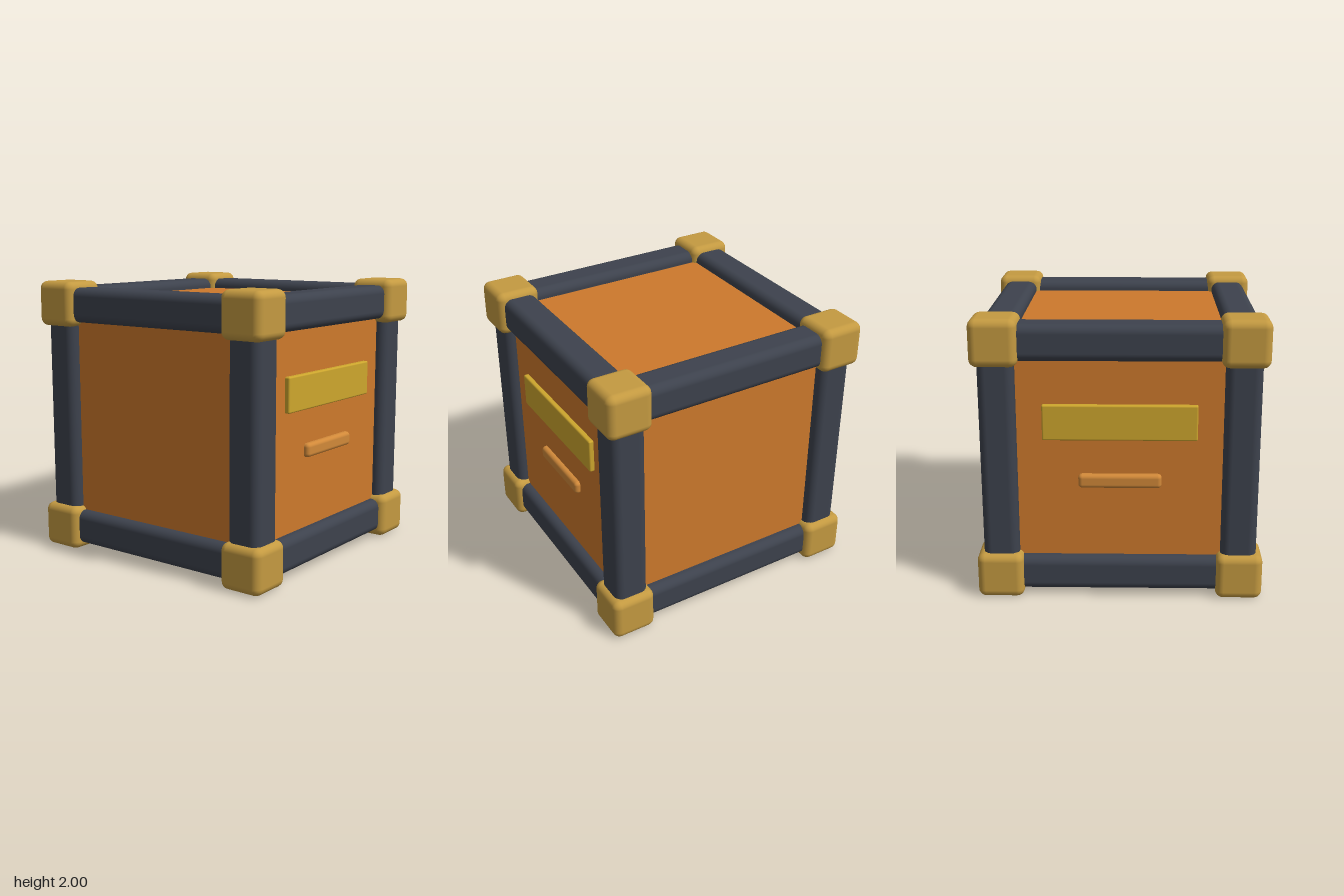
import * as THREE from 'three';
import { RoundedBoxGeometry } from 'three/addons/geometries/RoundedBoxGeometry.js';

const material = (name, color) => {
  const m = new THREE.MeshStandardMaterial({ color });
  m.name = name;
  return m;
};

export function createModel() {
  const crate = new THREE.Group();
  crate.name = 'crate';

  const orange = material('orange panel', 0xcd792c);
  const slate = material('dark slate frame', 0x3d424d);
  const brass = material('brass corner', 0xc49a41);
  const yellow = material('yellow plate', 0xcda62d);
  const copper = material('light copper bar', 0xd18939);

  const add = (parent, name, geometry, mat, x, y, z) => {
    const mesh = new THREE.Mesh(geometry, mat);
    mesh.name = name;
    mesh.position.set(x, y, z);
    parent.add(mesh);
    return mesh;
  };

  // Inset body, flush panels on all six sides
  const panel = 0.88;
  add(crate, 'body', new THREE.BoxGeometry(panel * 2, panel * 2, panel * 2), orange, 0, 1, 0);

  // Twelve rounded frame beams, four along each axis
  const beamAt = 0.831;
  const beamWidth = 0.25;
  const beamLength = 1.64;
  ['x', 'y', 'z'].forEach((axis, i) => {
    const size = [beamWidth, beamWidth, beamWidth];
    size[i] = beamLength;
    const geometry = new RoundedBoxGeometry(...size, 4, 0.06);
    for (const a of [-beamAt, beamAt]) {
      for (const b of [-beamAt, beamAt]) {
        const p = [a, b];
        p.splice(i, 0, 0);
        add(crate, `${axis}Beam`, geometry, slate, p[0], p[1] + 1, p[2]);
      }
    }
  });

  // Eight corner caps
  const capSize = 0.326;
  const capAt = 1 - capSize / 2;
  const capGeometry = new RoundedBoxGeometry(capSize, capSize, capSize, 3, 0.055);
  for (const x of [-capAt, capAt]) {
    for (const y of [-capAt, capAt]) {
      for (const z of [-capAt, capAt]) add(crate, 'cornerCap', capGeometry, brass, x, y + 1, z);
    }
  }

  // Label plate and handle bar on the front and back
  const plateGeometry = new RoundedBoxGeometry(1.06, 0.25, 0.06, 2, 0.012);
  const barGeometry = new RoundedBoxGeometry(0.575, 0.1, 0.07, 3, 0.028);
  for (const side of ['front', 'back']) {
    const fittings = new THREE.Group();
    fittings.name = `${side}Fittings`;
    add(fittings, 'labelPlate', plateGeometry, yellow, 0, 1.275, panel + 0.005);
    add(fittings, 'handleBar', barGeometry, copper, 0, 0.852, panel + 0.005);
    if (side === 'back') fittings.rotation.y = Math.PI;
    crate.add(fittings);
  }

  return crate;
}
